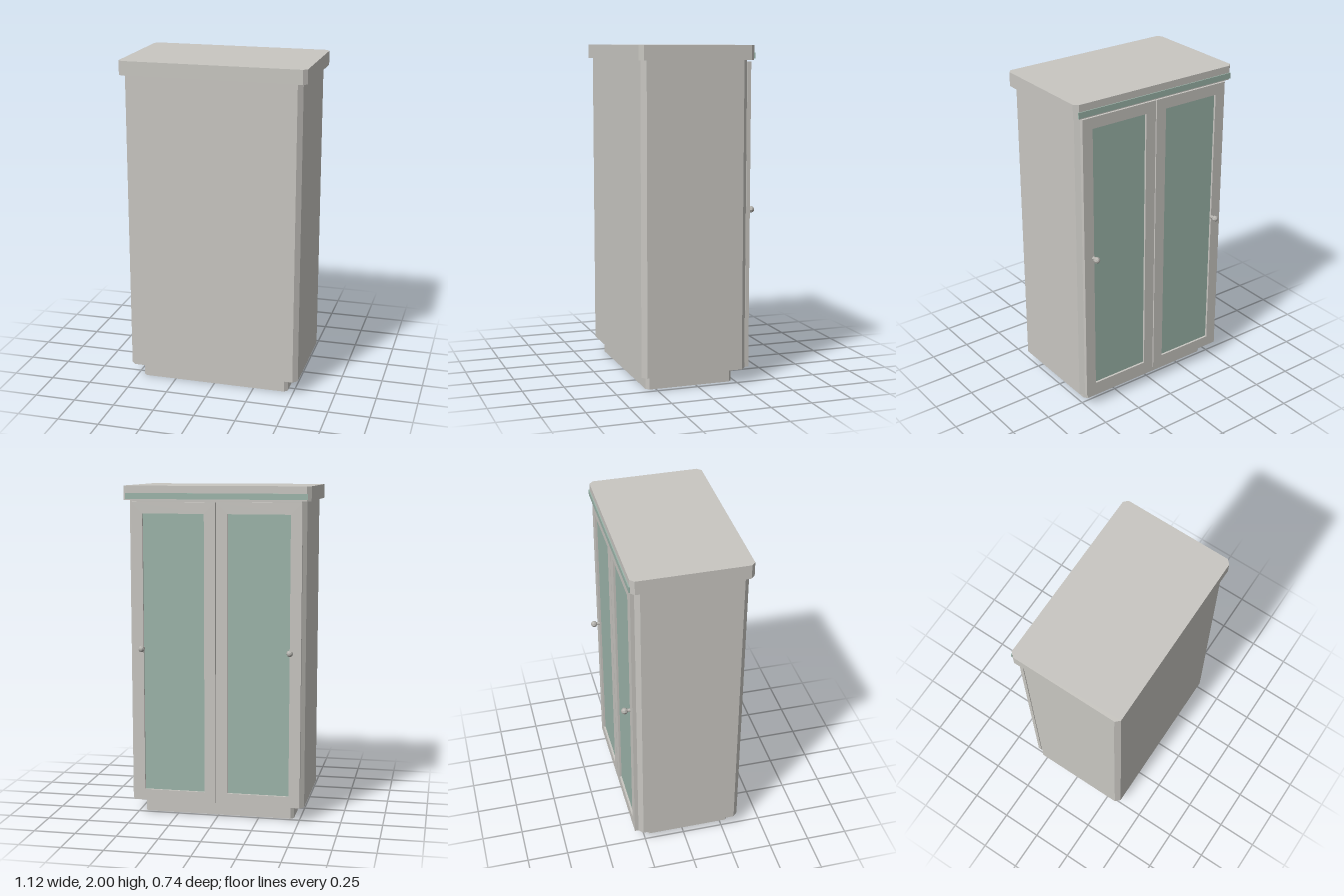
import * as THREE from 'three';

const paint = new THREE.MeshStandardMaterial({ color: 0xc8c6c1 });
paint.name = 'warm grey paint';
const glass = new THREE.MeshStandardMaterial({ color: 0x9cb5aa });
glass.name = 'green glass';
const metal = new THREE.MeshStandardMaterial({ color: 0xb4b2ad, flatShading: true });
metal.name = 'knob metal';

function add(parent, name, geometry, material, x = 0, y = 0, z = 0) {
  const mesh = new THREE.Mesh(geometry, material);
  mesh.name = name;
  mesh.position.set(x, y, z);
  parent.add(mesh);
  return mesh;
}

// Upright block with its four vertical corners cut off
function chamferedBlock(halfWidth, back, front, bottom, top, cut) {
  const w = halfWidth;
  const outline = [
    [-w + cut, -front], [w - cut, -front], [w, -front + cut], [w, -back - cut],
    [w - cut, -back], [-w + cut, -back], [-w, -back - cut], [-w, -front + cut],
  ].map(([x, y]) => new THREE.Vector2(x, y));
  return new THREE.ExtrudeGeometry(new THREE.Shape(outline), { depth: top - bottom, bevelEnabled: false })
    .rotateX(-Math.PI / 2)
    .translate(0, bottom, 0);
}

function rectangle(PathType, w, h) {
  return new PathType([[-w, -h], [w, -h], [w, h], [-w, h]].map(([x, y]) => new THREE.Vector2(x / 2, y / 2)));
}

// Framed door with a recessed glass panel and a faceted knob near its outer edge
function makeDoor(side) {
  const door = new THREE.Group();
  door.name = side > 0 ? 'leftDoor' : 'rightDoor';
  const width = 0.505, height = 1.81, rail = 0.067;
  const shape = rectangle(THREE.Shape, width, height);
  shape.holes.push(rectangle(THREE.Path, width - 2 * rail, height - 2 * rail));
  add(door, 'doorFrame', new THREE.ExtrudeGeometry(shape, { depth: 0.023, bevelEnabled: false }), paint, 0, 0, -0.318);
  add(door, 'glassPanel', new THREE.BoxGeometry(width - 2 * rail, height - 2 * rail, 0.008), glass, 0, 0, -0.301);

  const knobX = side * 0.19, knobY = 0.035;
  add(door, 'knobStem', new THREE.CylinderGeometry(0.009, 0.012, 0.03, 8).rotateX(-Math.PI / 2), metal, knobX, knobY, -0.329);
  add(door, 'knob', new THREE.SphereGeometry(0.02, 8, 6).rotateX(Math.PI / 2), metal, knobX, knobY, -0.351);

  door.position.set(side * 0.256, 1, 0);
  return door;
}

export function createModel() {
  const cabinet = new THREE.Group();
  cabinet.name = 'cabinet';

  // Plinth, carcass and overhanging top
  add(cabinet, 'plinth', chamferedBlock(0.462, -0.232, 0.307, 0, 0.088, 0.02), paint);
  add(cabinet, 'body', chamferedBlock(0.53, -0.295, 0.35, 0.088, 1.915, 0.028), paint);
  add(cabinet, 'topSlab', chamferedBlock(0.558, -0.325, 0.37, 1.915, 2, 0.024), paint);

  // Thin coloured strip along the edge of the top, above the doors
  add(cabinet, 'topStrip', new THREE.BoxGeometry(1.08, 0.035, 0.008), glass, 0, 1.94, -0.327);

  for (const side of [-1, 1]) cabinet.add(makeDoor(side));
  return cabinet;
}
